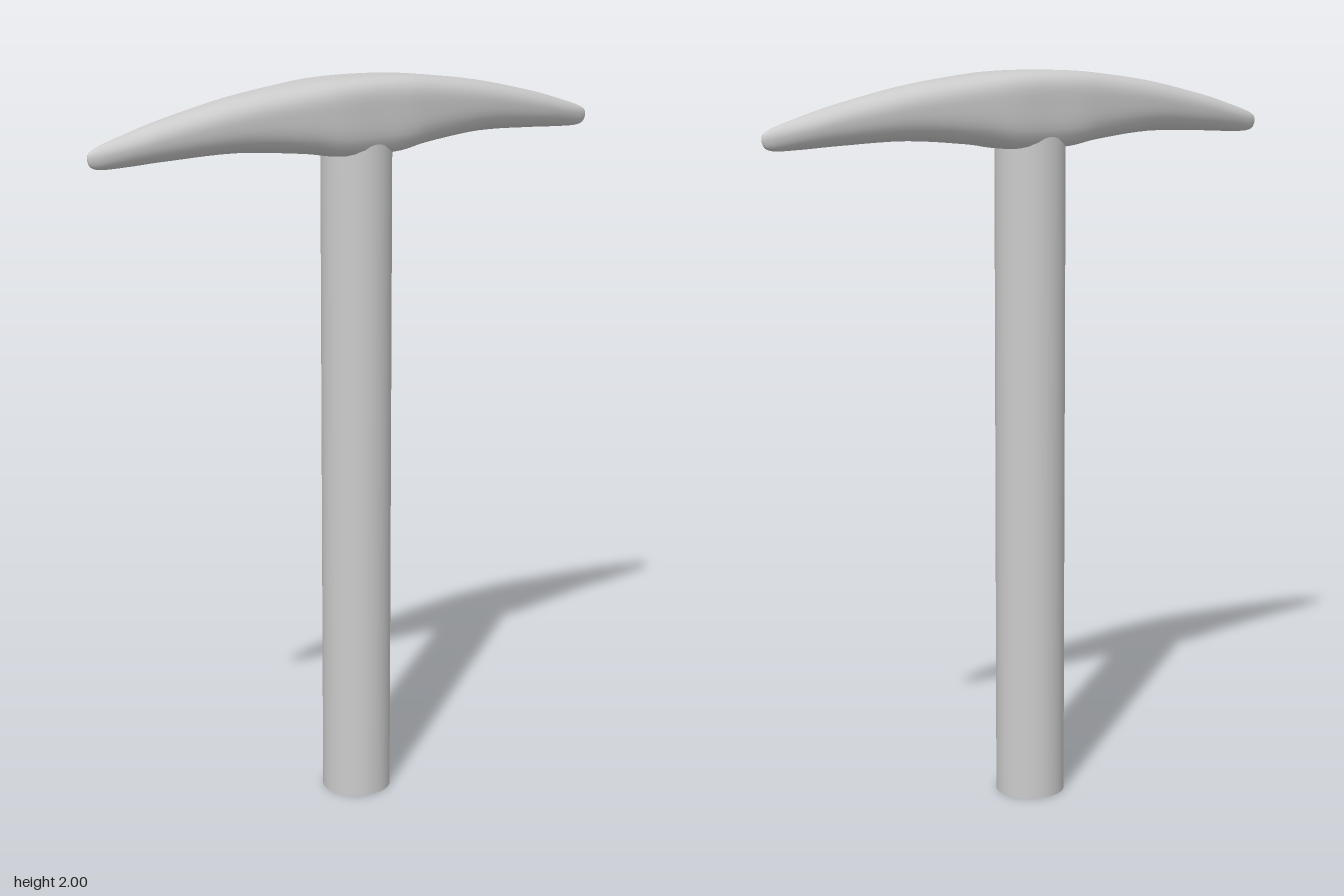
import * as THREE from 'three';

// Half of the head, centre to tip: [x, top, bottom, half width, section squareness]
const HALF = [
  [0, 2.0, 1.795, 0.103, 4],
  [0.1, 1.998, 1.797, 0.103, 3.8],
  [0.2, 1.991, 1.811, 0.095, 3.2],
  [0.4, 1.966, 1.827, 0.075, 2.5],
  [0.6, 1.925, 1.822, 0.053, 2.2],
  [0.7, 1.899, 1.817, 0.039, 2],
  [0.775, 1.877, 1.815, 0.023, 2],
  [0.805, 1.865, 1.82, 0.013, 2],
  [0.816, 1.857, 1.831, 0.007, 2],
  [0.82, 1.845, 1.845, 0, 2],
];

// Lofts rounded cross-sections along x, closing to a point at both tips
function headGeometry() {
  const mirrored = HALF.slice(1).reverse().map(([x, ...rest]) => [-x, ...rest]);
  const stations = [...mirrored, ...HALF];
  const spline = (pick) => new THREE.CatmullRomCurve3(
    stations.map((s) => new THREE.Vector3(...pick(s))), false, 'catmullrom', 0.5);
  const outline = spline((s) => [s[0], s[1], s[2]]);
  const section = spline((s) => [s[0], s[3], s[4]]);
  const rings = (stations.length - 1) * 5, sides = 48;
  const positions = [], index = [];
  for (let i = 0; i <= rings; i++) {
    const { x, y: top, z: bottom } = outline.getPoint(i / rings);
    const { y: half, z: power } = section.getPoint(i / rings);
    // The widest line sits above the middle of the section
    const mid = bottom + (top - bottom) * 0.58;
    for (let j = 0; j < sides; j++) {
      const a = (j / sides) * Math.PI * 2;
      const c = Math.cos(a), s = Math.sin(a);
      const r = (Math.abs(c) ** power + Math.abs(s) ** power) ** (-1 / power);
      positions.push(x, mid + r * s * (s > 0 ? top - mid : mid - bottom), r * c * half);
      if (i === rings) continue;
      const k = i * sides + j, n = i * sides + ((j + 1) % sides);
      index.push(k, k + sides, n, n, k + sides, n + sides);
    }
  }
  const geometry = new THREE.BufferGeometry();
  geometry.setAttribute('position', new THREE.Float32BufferAttribute(positions, 3));
  geometry.setIndex(index);
  geometry.computeVertexNormals();
  return geometry;
}

export function createModel() {
  const model = new THREE.Group();
  const material = new THREE.MeshStandardMaterial({ color: 0xcccccc });

  // Straight round handle, its upper end buried in the head
  const handle = new THREE.Mesh(new THREE.CylinderGeometry(0.095, 0.095, 1.86, 48), material);
  handle.name = 'handle';
  handle.position.set(-0.003, 0.93, 0);

  // Curved double-pointed head
  const head = new THREE.Mesh(headGeometry(), material);
  head.name = 'pickHead';

  model.add(handle, head);
  return model;
}
